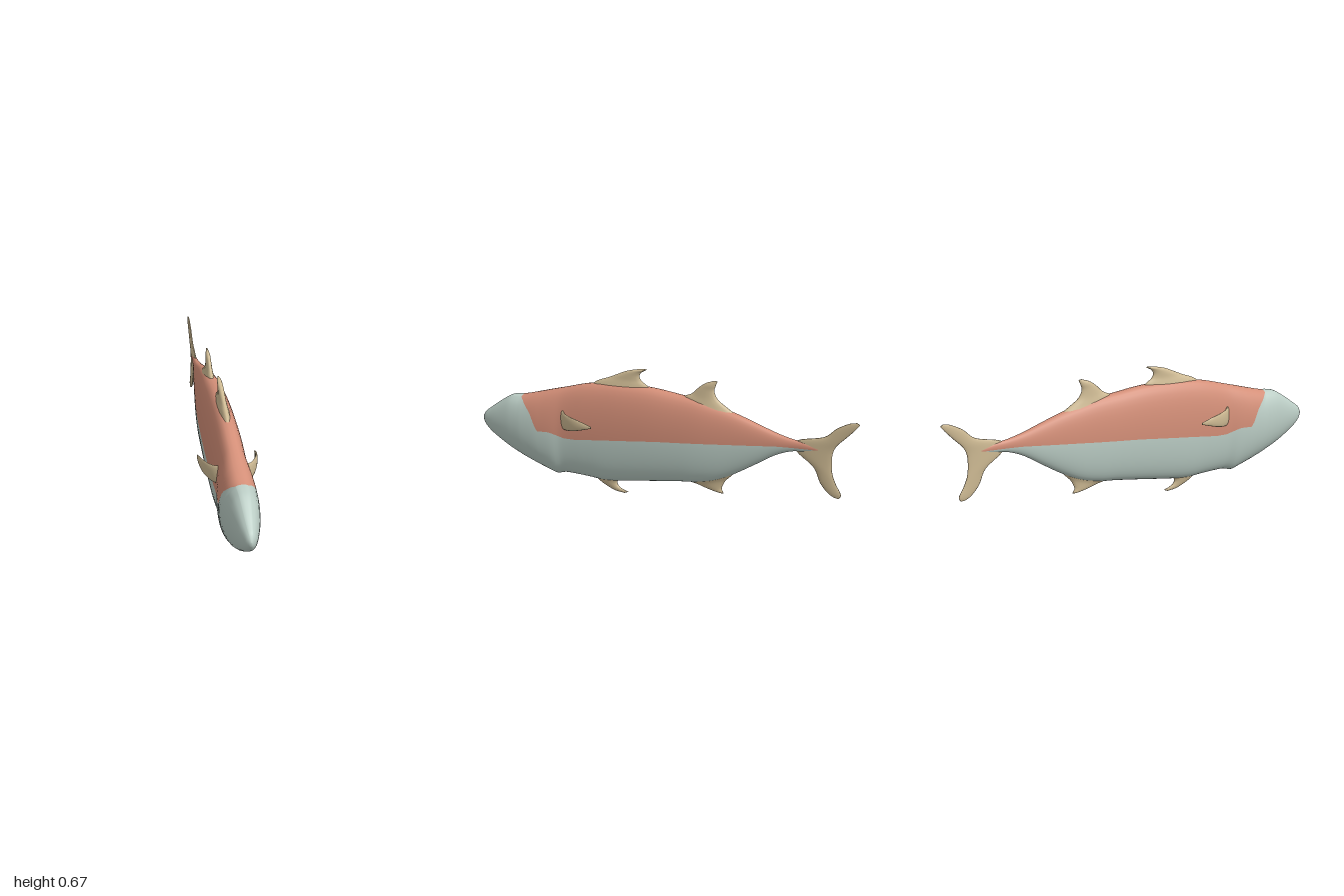
import * as THREE from 'three';

const coral = new THREE.MeshStandardMaterial({ color: 0xd48f78 });
coral.name = 'coralBack';
const grey = new THREE.MeshStandardMaterial({ color: 0xbccec6 });
grey.name = 'paleGreyBelly';
const tan = new THREE.MeshStandardMaterial({ color: 0xcfbb94 });
tan.name = 'tanFin';

// Body stations from nose to tail: z, top, bottom, half width
const STATIONS = [
  [1.0, 0.312, 0.292, 0.006], [0.985, 0.338, 0.268, 0.022], [0.95, 0.366, 0.235, 0.038],
  [0.9, 0.403, 0.203, 0.054], [0.83, 0.447, 0.163, 0.071], [0.79, 0.457, 0.145, 0.078],
  [0.75, 0.462, 0.128, 0.084], [0.67, 0.484, 0.098, 0.089], [0.6, 0.505, 0.073, 0.087],
  [0.565, 0.515, 0.062, 0.084], [0.52, 0.528, 0.073, 0.078], [0.4, 0.562, 0.07, 0.079],
  [0.3, 0.578, 0.064, 0.08], [0.2, 0.585, 0.075, 0.08], [0.05, 0.584, 0.098, 0.078],
  [-0.1, 0.568, 0.12, 0.073], [-0.2, 0.556, 0.132, 0.068], [-0.3, 0.533, 0.157, 0.06],
  [-0.4, 0.507, 0.208, 0.05], [-0.5, 0.474, 0.27, 0.039], [-0.6, 0.441, 0.333, 0.027],
  [-0.68, 0.422, 0.363, 0.017], [-0.75, 0.413, 0.371, 0.012], [-0.81, 0.399, 0.381, 0.0085],
];
// Height of the line between back and belly: z, y
const COLOUR_LINE = [
  [1.0, 0.5], [0.77, 0.47], [0.69, 0.39], [0.66, 0.33], [0.65, 0.302], [0.58, 0.304], [0.5, 0.281],
  [0.44, 0.282], [0.3, 0.3], [0, 0.335], [-0.3, 0.36], [-0.6, 0.383], [-0.81, 0.386],
];
const BACK_START = 0.765;

// Table lookup along falling z, smooth (cubic) or straight
function sample(table, z, col, smooth = true) {
  let i = 0;
  while (i < table.length - 2 && z < table[i + 1][0]) i++;
  const p = table[i], q = table[i + 1], d = q[0] - p[0];
  const t = (z - p[0]) / d;
  if (!smooth) return p[col] + (q[col] - p[col]) * t;
  const o = table[Math.max(i - 1, 0)], r = table[Math.min(i + 2, table.length - 1)];
  const m0 = (q[col] - o[col]) / (q[0] - o[0]) * d;
  const m1 = (r[col] - p[col]) / (r[0] - p[0]) * d;
  const t2 = t * t, t3 = t2 * t;
  return (2 * t3 - 3 * t2 + 1) * p[col] + (t3 - 2 * t2 + t) * m0
    + (3 * t2 - 2 * t3) * q[col] + (t3 - t2) * m1;
}

// Joins closed rings into a capped skin; isSecond(ring, side) picks the second material
function loft(rings, isSecond = () => false) {
  const n = rings[0].length, pts = rings.flat(), lists = [[], []];
  rings.slice(1).forEach((_, i) => {
    for (let j = 0; j < n; j++) {
      const a = i * n + j, b = i * n + (j + 1) % n;
      lists[isSecond(i, j) ? 1 : 0].push(a, a + n, b, b, a + n, b + n);
    }
  });
  for (const end of [0, rings.length - 1]) {
    const mid = new THREE.Vector3();
    rings[end].forEach((p) => mid.addScaledVector(p, 1 / n));
    const c = pts.push(mid) - 1;
    for (let j = 0; j < n; j++) {
      const a = end * n + j, b = end * n + (j + 1) % n;
      lists[0].push(c, ...(end === 0 ? [a, b] : [b, a]));
    }
  }
  // Turn the skin outward
  const all = lists.flat();
  let volume = 0;
  const cross = new THREE.Vector3();
  for (let k = 0; k < all.length; k += 3) {
    volume += pts[all[k]].dot(cross.crossVectors(pts[all[k + 1]], pts[all[k + 2]]));
  }
  if (volume < 0) {
    for (let k = 0; k < all.length; k += 3) [all[k + 1], all[k + 2]] = [all[k + 2], all[k + 1]];
  }
  const g = new THREE.BufferGeometry().setFromPoints(pts);
  g.setIndex(all);
  g.addGroup(0, lists[0].length, 0);
  if (lists[1].length) g.addGroup(lists[0].length, lists[1].length, 1);
  g.computeVertexNormals();
  return g;
}

// Body rings whose points follow the colour line
function makeBody() {
  const ROWS = 110, UP = 10, LOW = 12, zs = [];
  for (let i = 0; i <= ROWS; i++) zs.push(1 - 1.81 * Math.pow(i / ROWS, 1.25));
  const rings = zs.map((z) => {
    const [top, bottom, w] = [1, 2, 3].map((c) => sample(STATIONS, z, c));
    const yc = bottom + (top - bottom) * 0.5;
    const c = (sample(COLOUR_LINE, z, 1, false) - yc) / (top - yc);
    const split = Math.max(0.3, Math.acos(THREE.MathUtils.clamp(c, -0.9, 1)));
    const angles = [];
    for (let j = 0; j < UP; j++) angles.push(split * j / UP);
    for (let j = 0; j <= LOW; j++) angles.push(split + (Math.PI - split) * j / LOW);
    const half = angles.map((a) => new THREE.Vector3(
      w * Math.pow(Math.max(Math.sin(a), 0), 0.82), yc + Math.cos(a) * (top - yc), z));
    const other = half.slice(1, -1).reverse().map((p) => new THREE.Vector3(-p.x, p.y, p.z));
    return [...half, ...other];
  });
  const n = rings[0].length;
  const geometry = loft(rings, (i, j) => zs[i] <= BACK_START && (j < UP || j >= n - UP));
  const body = new THREE.Mesh(geometry, [grey, coral]);
  body.name = 'body';
  return body;
}

// Fin from rows of [front edge, rear edge, half thickness, thickness direction]
function makeFin(name, rows) {
  const SIDE = 8, steps = (rows.length - 1) * 5, rings = [];
  const path = (f) => new THREE.CatmullRomCurve3(rows.map(f), false, 'catmullrom', 0.5);
  const front = path((r) => r[0]), rear = path((r) => r[1]);
  const dir = path((r) => r[3]), thick = path((r, i) => new THREE.Vector3(r[2], i, 0));
  for (let i = 0; i <= steps; i++) {
    const u = i / steps, a = front.getPoint(u), b = rear.getPoint(u);
    const d = dir.getPoint(u).normalize().multiplyScalar(thick.getPoint(u).x);
    const ring = [];
    for (let k = 0; k < SIDE * 2; k++) {
      const ang = Math.PI * k / SIDE;
      ring.push(a.clone().lerp(b, (1 - Math.cos(ang)) / 2).addScaledVector(d, Math.sin(ang)));
    }
    rings.push(ring);
  }
  const fin = new THREE.Mesh(loft(rings), tan);
  fin.name = name;
  return fin;
}

// Fin on the centre line: rows of front z, front y, rear z, rear y, half thickness
const centreFin = (name, rows) => makeFin(name, rows.map(([z0, y0, z1, y1, t]) => [
  new THREE.Vector3(0, y0, z0), new THREE.Vector3(0, y1, z1), t, new THREE.Vector3(1, 0, 0)]));

// Side fin sweeping backward: rows of x, z, low y, high y, half thickness
function sideFin(name, s) {
  const rows = [[0.06, 0.51, 0.33, 0.428, 0.012], [0.085, 0.49, 0.332, 0.42, 0.009],
    [0.108, 0.455, 0.338, 0.416, 0.008], [0.126, 0.41, 0.349, 0.412, 0.007],
    [0.135, 0.36, 0.364, 0.402, 0.006], [0.137, 0.315, 0.378, 0.388, 0.002]];
  return makeFin(name, rows.map(([x, z, y0, y1, t], i) => {
    const p = rows[Math.max(i - 1, 0)], q = rows[Math.min(i + 1, rows.length - 1)];
    return [new THREE.Vector3(s * x, y0, z), new THREE.Vector3(s * x, y1, z), t,
      new THREE.Vector3(s * (p[1] - q[1]), 0, q[0] - p[0])];
  }));
}

export function createModel() {
  const model = new THREE.Group();
  model.name = 'fish';
  model.add(makeBody());

  model.add(centreFin('frontDorsalFin', [
    [0.39, 0.55, 0.05, 0.565, 0.03], [0.34, 0.585, 0.07, 0.59, 0.022], [0.28, 0.609, 0.1, 0.61, 0.017],
    [0.23, 0.632, 0.112, 0.632, 0.015], [0.18, 0.654, 0.105, 0.652, 0.013], [0.13, 0.667, 0.085, 0.665, 0.01],
    [0.09, 0.674, 0.073, 0.672, 0.003]]));
  model.add(centreFin('rearDorsalFin', [
    [-0.12, 0.55, -0.42, 0.485, 0.028], [-0.13, 0.567, -0.36, 0.525, 0.022], [-0.165, 0.584, -0.302, 0.565, 0.017],
    [-0.2, 0.618, -0.28, 0.605, 0.013], [-0.235, 0.644, -0.285, 0.632, 0.011], [-0.28, 0.661, -0.295, 0.657, 0.003]]));
  model.add(centreFin('analFin', [
    [-0.14, 0.15, -0.41, 0.225, 0.026], [-0.16, 0.126, -0.372, 0.186, 0.02], [-0.2, 0.117, -0.343, 0.155, 0.014],
    [-0.25, 0.103, -0.326, 0.118, 0.011], [-0.3, 0.092, -0.332, 0.098, 0.008], [-0.325, 0.089, -0.336, 0.091, 0.003]]));
  model.add(centreFin('pelvicFin', [
    [0.37, 0.085, 0.22, 0.09, 0.026], [0.34, 0.057, 0.238, 0.058, 0.018], [0.3, 0.033, 0.23, 0.037, 0.012],
    [0.25, 0.012, 0.21, 0.025, 0.008], [0.2, 0.005, 0.178, 0.014, 0.003]]));
  model.add(centreFin('tailFin', [
    [-0.985, 0.546, -1.0, 0.536, 0.003], [-0.95, 0.538, -0.975, 0.505, 0.006], [-0.89, 0.505, -0.935, 0.462, 0.007],
    [-0.83, 0.455, -0.895, 0.42, 0.008], [-0.7, 0.42, -0.877, 0.38, 0.009], [-0.7, 0.365, -0.874, 0.33, 0.009],
    [-0.785, 0.298, -0.88, 0.275, 0.008], [-0.82, 0.225, -0.9, 0.225, 0.007], [-0.86, 0.178, -0.925, 0.18, 0.006],
    [-0.89, 0.16, -0.917, 0.157, 0.003]]));
  model.add(sideFin('leftPectoralFin', 1), sideFin('rightPectoralFin', -1));
  return model;
}
